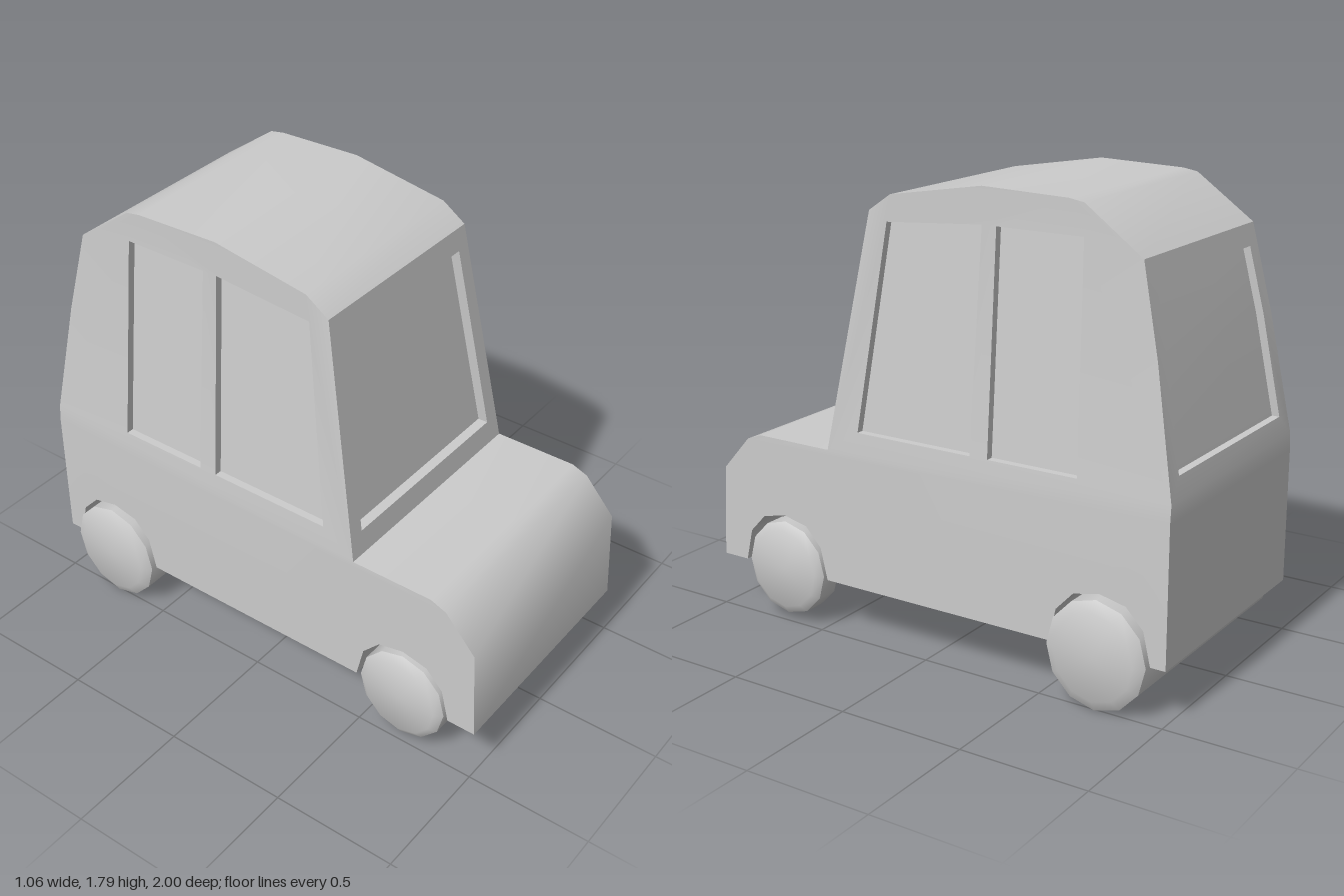
import * as THREE from 'three';
import { toCreasedNormals } from 'three/addons/utils/BufferGeometryUtils.js';

const CREASE = THREE.MathUtils.degToRad(40);
const BELT = 0.745;
const v3 = (x, y, z) => new THREE.Vector3(x, y, z);

// Half width of the body: straight below the belt line, leaning in above it
const halfWidth = (y) => THREE.MathUtils.mapLinear(THREE.MathUtils.clamp(y, BELT, 1.66), BELT, 1.66, 0.487, 0.412);

// Collects quads and triangles into one geometry
class Surface {
  constructor() { this.points = []; }
  tri(a, b, c) { this.points.push(a, b, c); }
  quad(a, b, c, d) { this.tri(a, b, c); this.tri(a, c, d); }
  mesh(name, material) {
    const geometry = new THREE.BufferGeometry().setFromPoints(this.points);
    const mesh = new THREE.Mesh(toCreasedNormals(geometry, CREASE), material);
    mesh.name = name;
    return mesh;
  }
}

// Side outline as [z, y], from the nose over the roof to the tail
const hood = [[1, 0.21], [0.98, 0.58], [0.855, 0.72], [0.79, 0.745], [0.455, BELT]];
const roof = [[0.29, 1.665], [0.195, 1.73], [-0.2, 1.795], [-0.55, 1.785], [-0.61, 1.775], [-0.84, 1.61]];
const tail = [[-0.915, 1.28], [-1, 0.81], [-1, BELT]];

// Wheel arch, listed from back to front
const arch = (z) => [[-0.205, 0.21], [-0.175, 0.338], [-0.105, 0.412], [0, 0.435],
  [0.105, 0.412], [0.175, 0.338], [0.205, 0.21]].map(([dz, y]) => [z + dz, y]);
const underside = [[-1, 0.21], ...arch(-0.735), ...arch(0.68), [1, 0.21]];

// Strip across the full width that follows an outline
function addStrip(surface, outline) {
  for (let i = 0; i + 1 < outline.length; i++) {
    const [za, ya] = outline[i], [zb, yb] = outline[i + 1];
    const a = halfWidth(ya), b = halfWidth(yb);
    surface.quad(v3(-a, ya, za), v3(a, ya, za), v3(b, yb, zb), v3(-b, yb, zb));
  }
}

// Flat side panel with optional window holes; side is 1 or -1
function addSide(surface, outline, holes, side) {
  const flat = (pts) => pts.map(([z, y]) => new THREE.Vector2(-z, y));
  const shape = new THREE.Shape(flat(outline));
  shape.holes = holes.map((h) => new THREE.Path(flat(h)));
  const geometry = new THREE.ShapeGeometry(shape);
  const pos = geometry.attributes.position, index = geometry.index;
  const corner = (i) => {
    const k = index.getX(i);
    return v3(side * halfWidth(pos.getY(k)), pos.getY(k), -pos.getX(k));
  };
  for (let i = 0; i < index.count; i += 3) {
    const [a, b, c] = [corner(i), corner(i + 1), corner(i + 2)];
    if (side > 0) surface.tri(a, b, c); else surface.tri(a, c, b);
  }
}

// Recessed window: reveal walls go to the body, the pane is its own mesh.
// The loop runs up the right edge and down the left edge, seen from outside.
function addWindow(body, loop, inset, name, material) {
  const n = loop.length, deep = loop.map((p) => p.clone().add(inset));
  loop.forEach((p, i) => {
    const j = (i + 1) % n;
    body.quad(p, loop[j], deep[j], deep[i]);
  });
  const pane = new Surface();
  for (let k = 0; k + 1 < n / 2; k++) pane.quad(deep[n - 1 - k], deep[k], deep[k + 1], deep[n - 2 - k]);
  return pane.mesh(name, material);
}

// Loop for a front (dir 1) or rear (dir -1) window from rows of [halfWidth, y, z]
function rowsToLoop(rows, dir) {
  const right = rows.map(([w, y, z]) => v3(dir * w, y, z));
  const left = rows.map(([w, y, z]) => v3(-dir * w, y, z)).reverse();
  return [...right, ...left];
}

// Frame between the body edge and the window opening
function addFrame(surface, outer, inner) {
  outer.forEach((p, i) => {
    const j = (i + 1) % outer.length;
    surface.quad(p, outer[j], inner[j], inner[i]);
  });
}

// Twelve-sided wheel turned from a [radius, x] profile
function makeWheel(name, profile, side, y, z, stretch, material) {
  const lathe = new THREE.LatheGeometry(profile.map(([r, x]) => new THREE.Vector2(r, x)), 12);
  lathe.rotateZ(-side * Math.PI / 2);
  lathe.scale(1, stretch, 1);
  const mesh = new THREE.Mesh(toCreasedNormals(lathe, CREASE), material);
  mesh.name = name;
  mesh.position.set(0, y, z);
  return mesh;
}

export function createModel() {
  const group = new THREE.Group();
  group.name = 'car';
  const grey = new THREE.MeshStandardMaterial({ color: 0xcccccc });
  const body = new Surface();

  // Hood, roof, tailgate base and underside
  addStrip(body, hood);
  addStrip(body, roof);
  addStrip(body, [[-1, 0.81], [-1, BELT], ...underside]);

  // Side panels with two windows each
  const sideWindows = {
    frontDoorWindow: [[-0.19, 0.835], [-0.2, 1.66], [0.21, 1.63], [0.315, 0.835]],
    rearDoorWindow: [[-0.635, 0.835], [-0.61, 1.66], [-0.26, 1.66], [-0.265, 0.835]],
  };
  for (const [label, side] of [['left', 1], ['right', -1]]) {
    addSide(body, [...hood, [-1, BELT], ...underside.slice(0, -1)], [], side);
    addSide(body, [hood[4], ...roof, ...tail], Object.values(sideWindows), side);
    for (const [name, pts] of Object.entries(sideWindows)) {
      const loop = pts.map(([z, y]) => v3(side * halfWidth(y), y, z));
      if (side < 0) loop.reverse();
      group.add(addWindow(body, loop, v3(-side * 0.03, 0, 0), `${label} ${name}`, grey));
    }
  }

  // Windshield and its frame
  const edgeRow = ([z, y]) => [halfWidth(y), y, z];
  const shield = rowsToLoop([[0.415, 0.835, 0.439], [0.36, 1.58, 0.305]], 1);
  addFrame(body, rowsToLoop([hood[4], roof[0]].map(edgeRow), 1), shield);
  group.add(addWindow(body, shield, v3(0, 0, -0.04), 'windshield', grey));

  // Rear window, bent along the tail
  const rear = rowsToLoop([[0.405, 0.89, -0.9855], [0.378, 1.28, -0.915], [0.36, 1.53, -0.858]], -1);
  addFrame(body, rowsToLoop([tail[1], tail[0], roof[5]].map(edgeRow), -1), rear);
  group.add(addWindow(body, rear, v3(0, 0, 0.03), 'rearWindow', grey));

  group.add(body.mesh('body', grey));

  // Two front wheels and one full-width rear roller
  const frontProfile = [[0, 0.395], [0.186, 0.395], [0.186, 0.485], [0.155, 0.507], [0, 0.507]];
  group.add(makeWheel('leftFrontWheel', frontProfile, 1, 0.218, 0.68, 1.03, grey));
  group.add(makeWheel('rightFrontWheel', frontProfile, -1, 0.218, 0.68, 1.03, grey));
  const rearProfile = [[0, -0.532], [0.16, -0.532], [0.2, -0.508], [0.2, 0.508], [0.16, 0.532], [0, 0.532]];
  group.add(makeWheel('rearWheelRoller', rearProfile, 1, 0.21, -0.735, 1.05, grey));

  return group;
}
